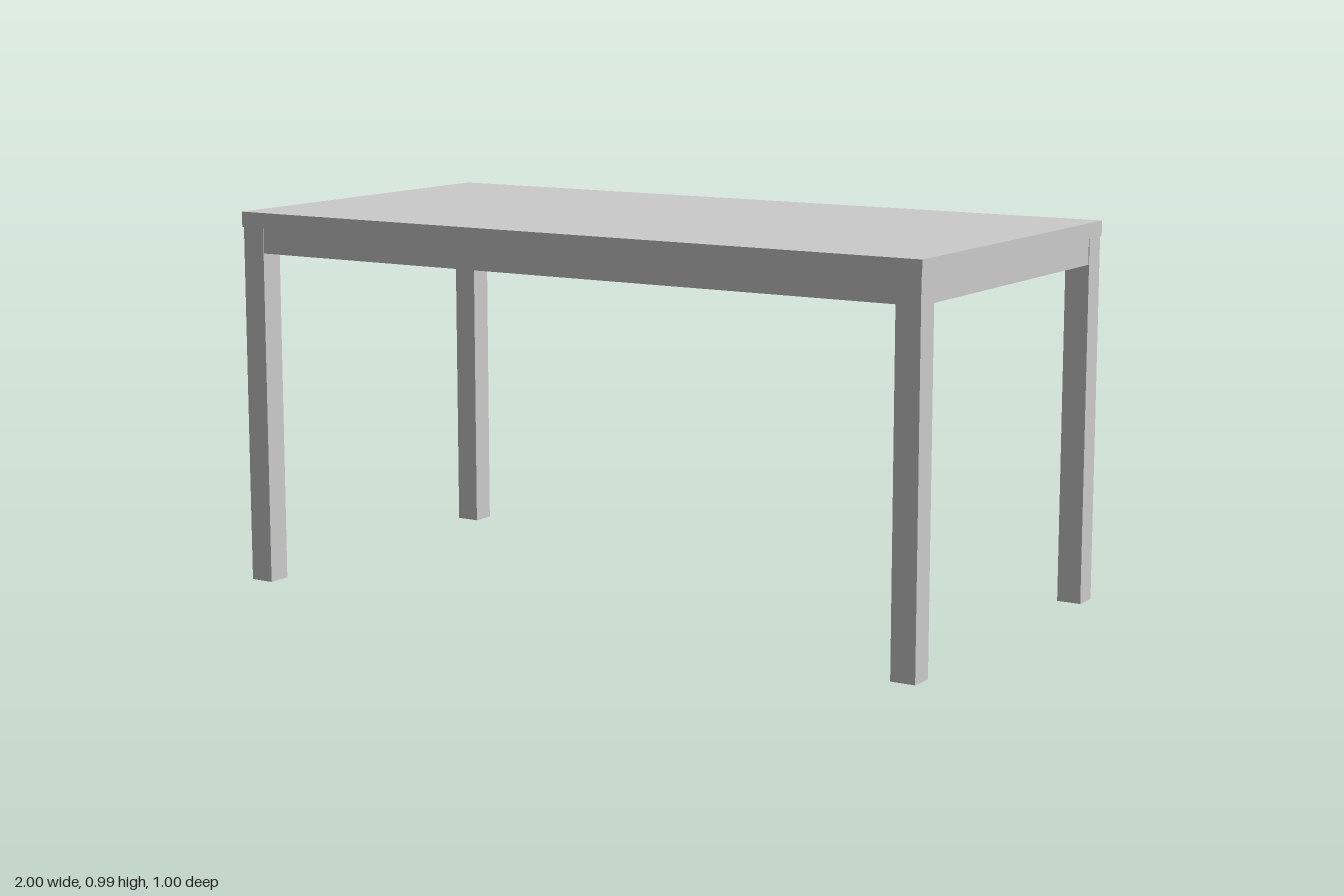
import * as THREE from 'three';

const W = 2, D = 1;           // table top footprint
const TOP = 0.99, UNDER = 0.95; // table top upper and lower faces
const LEG = 0.065, INSET = 0.003; // leg section, leg setback from the top's edge
const RAIL_H = 0.067, RAIL_T = 0.025, RAIL_INSET = 0.005;

export function createModel() {
  const table = new THREE.Group();
  table.name = 'table';
  const material = new THREE.MeshStandardMaterial({ color: 0xcccccc });

  function addBox(name, w, h, d, x, y, z) {
    const mesh = new THREE.Mesh(new THREE.BoxGeometry(w, h, d), material);
    mesh.name = name;
    mesh.position.set(x, y, z);
    table.add(mesh);
  }

  // Flat slab top
  addBox('tableTop', W, TOP - UNDER, D, 0, (TOP + UNDER) / 2, 0);

  // Square legs, one in each corner
  const legX = W / 2 - INSET - LEG / 2;
  const legZ = D / 2 - INSET - LEG / 2;
  for (const [sx, side] of [[1, 'Left'], [-1, 'Right']])
    for (const [sz, end] of [[1, 'front'], [-1, 'back']])
      addBox(`${end}${side}Leg`, LEG, UNDER, LEG, sx * legX, UNDER / 2, sz * legZ);

  // Thin apron rails between the legs
  const railY = UNDER - RAIL_H / 2;
  const railX = W / 2 - RAIL_INSET - RAIL_T / 2;
  const railZ = D / 2 - RAIL_INSET - RAIL_T / 2;
  for (const s of [1, -1]) {
    addBox(s > 0 ? 'frontApron' : 'backApron', 2 * legX - LEG, RAIL_H, RAIL_T, 0, railY, s * railZ);
    addBox(s > 0 ? 'leftApron' : 'rightApron', RAIL_T, RAIL_H, 2 * legZ - LEG, s * railX, railY, 0);
  }

  return table;
}
